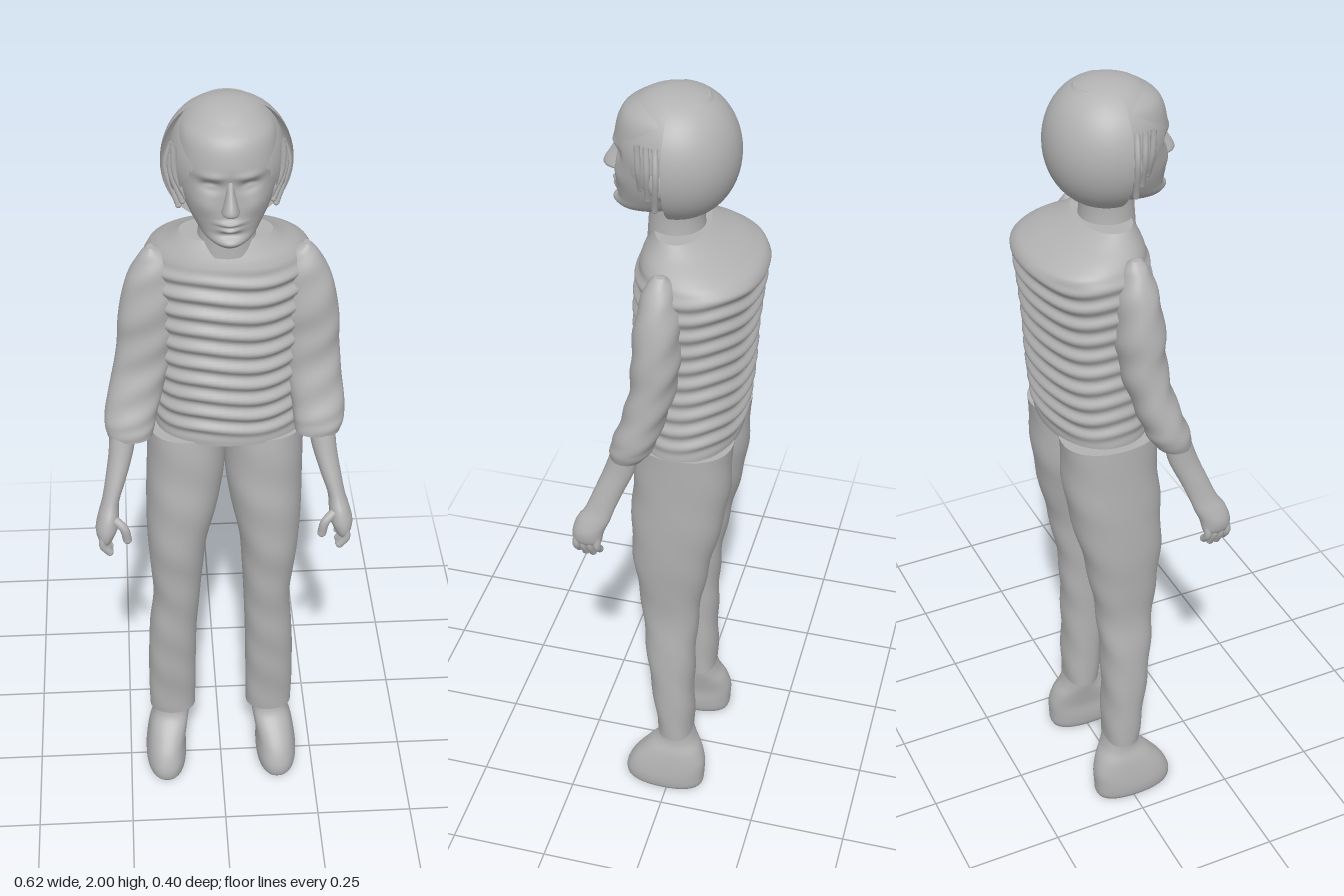
import * as THREE from 'three';

const grey = new THREE.MeshStandardMaterial({ color: 0xb2b2b2, side: THREE.DoubleSide });
grey.name = 'plain grey';

function add(parent, name, geometry) {
  const mesh = new THREE.Mesh(geometry, grey);
  mesh.name = name;
  parent.add(mesh);
  return mesh;
}

// Smooth skin over horizontal sections [y, xMin, xMax, zBack, zFront], listed from top to bottom.
// shape(u, v, p) may displace a point; power squares off the section; ends are closed flat.
function loft(sections, { steps = 48, sides = 40, power = 2, shape = null } = {}) {
  const last = sections.length - 1, pos = [], idx = [];
  const sample = (t) => {
    const i = Math.min(Math.floor(t * last), last - 1), f = t * last - i;
    const at = (k) => sections[Math.max(0, Math.min(last, k))];
    return sections[0].map((_, c) => {
      const [a, b, d, e] = [at(i - 1)[c], at(i)[c], at(i + 1)[c], at(i + 2)[c]];
      return b + 0.5 * f * (d - a + f * (2 * a - 5 * b + 4 * d - e + f * (3 * (b - d) + e - a)));
    });
  };
  const bend = (n) => Math.sign(n) * Math.abs(n) ** (2 / power);
  for (let r = 0; r <= steps; r++) {
    const [y, x0, x1, z0, z1] = sample(r / steps);
    for (let s = 0; s < sides; s++) {
      const a = (s / sides) * Math.PI * 2;
      const p = new THREE.Vector3((x0 + x1) / 2 + bend(Math.sin(a)) * (x1 - x0) / 2, y,
        (z0 + z1) / 2 + bend(Math.cos(a)) * (z1 - z0) / 2);
      if (shape) shape(a, r / steps, p);
      pos.push(p.x, p.y, p.z);
    }
  }
  for (let r = 0; r < steps; r++) for (let s = 0; s < sides; s++) {
    const a = r * sides + s, b = r * sides + (s + 1) % sides;
    idx.push(a, a + sides, b, b, a + sides, b + sides);
  }
  for (const [row, flip] of [[0, false], [steps, true]]) {
    const start = pos.length / 3, c = [0, 0, 0];
    for (let s = 0; s < sides; s++) for (let k = 0; k < 3; k++) {
      const v = pos[(row * sides + s) * 3 + k];
      pos.push(v);
      c[k] += v / sides;
    }
    pos.push(...c);
    for (let s = 0; s < sides; s++) {
      const a = start + s, b = start + (s + 1) % sides;
      idx.push(start + sides, flip ? b : a, flip ? a : b);
    }
  }
  const g = new THREE.BufferGeometry();
  g.setAttribute('position', new THREE.Float32BufferAttribute(pos, 3));
  g.setIndex(idx);
  g.computeVertexNormals();
  return g;
}

// Mirrors a list of sections to the other side and shifts it by a rule of height.
const sideOf = (sections, side, shift) => sections.map(([y, a, b, z0, z1]) => {
  const d = shift(y);
  return side > 0 ? [y, a + d, b + d, z0, z1] : [y, -b + d, -a + d, z0, z1];
});

function ball(parent, name, [x, y, z], [rx, ry, rz]) {
  const mesh = add(parent, name, new THREE.SphereGeometry(1, 20, 14));
  mesh.position.set(x, y, z);
  mesh.scale.set(rx, ry, rz);
  return mesh;
}

// Tapered finger along a bent path
function finger(parent, name, points, radius) {
  const path = new THREE.CatmullRomCurve3(points.map((p) => new THREE.Vector3(...p)));
  add(parent, name, new THREE.TubeGeometry(path, 10, radius, 10));
  ball(parent, name + 'Tip', points[points.length - 1], [radius, radius, radius]);
}

function makeLimbs(model, side) {
  const tag = side > 0 ? 'left' : 'right';
  // Trouser leg
  const leg = [[1.14, 0.0, 0.191, -0.146, 0.088], [1.02, 0.0, 0.192, -0.142, 0.095],
    [0.92, 0.013, 0.194, -0.13, 0.1], [0.8, 0.04, 0.192, -0.104, 0.098], [0.7, 0.05, 0.184, -0.085, 0.088],
    [0.6, 0.057, 0.177, -0.07, 0.077], [0.5, 0.063, 0.186, -0.064, 0.068], [0.4, 0.066, 0.191, -0.06, 0.058],
    [0.28, 0.068, 0.193, -0.06, 0.043], [0.185, 0.07, 0.192, -0.06, 0.032]];
  add(model, tag + 'TrouserLeg', loft(sideOf(leg, side, (y) => 0.013 * Math.max(0, (y - 0.5) / 0.64)), {
    power: 2.25,
    shape: (a, v, p) => { p.z += 0.002 * Math.sin(p.y * 42 + 2 * a); },
  }));

  // Shoe: narrow ankle sloping to a long rounded sole
  const shoe = [[0.2, 0.083, 0.178, -0.055, 0.02], [0.16, 0.086, 0.182, -0.066, 0.03],
    [0.125, 0.092, 0.194, -0.085, 0.066], [0.085, 0.098, 0.202, -0.096, 0.1],
    [0.045, 0.097, 0.207, -0.095, 0.118], [0.015, 0.1, 0.205, -0.093, 0.118], [0, 0.107, 0.196, -0.086, 0.108]];
  add(model, tag + 'Shoe', loft(sideOf(shoe, side, () => 0), { steps: 30, power: 2.3 }));

  // Sleeve with a pinched shoulder and creases at the elbow
  const sleeve = [[1.635, 0.17, 0.185, -0.008, 0.018], [1.61, 0.135, 0.207, -0.025, 0.037],
    [1.55, 0.118, 0.237, -0.042, 0.055], [1.46, 0.12, 0.256, -0.046, 0.065], [1.38, 0.128, 0.261, -0.04, 0.067],
    [1.3, 0.142, 0.272, -0.022, 0.08], [1.23, 0.158, 0.284, 0.0, 0.102], [1.19, 0.165, 0.284, 0.015, 0.115],
    [1.165, 0.17, 0.276, 0.032, 0.116]];
  add(model, tag + 'Sleeve', loft(sideOf(sleeve, side, (y) => 0.018 * Math.min(1, Math.max(0, (y - 1.1) / 0.3))), {
    power: 2.15,
    shape: (a, v, p) => { p.z += 0.003 * Math.sin(v * 42 + 2 * a) * Math.sin(v * Math.PI); },
  }));

  // Forearm running into the wrist and palm
  const arm = [[1.2, 0.2, 0.268, 0.045, 0.105], [1.13, 0.213, 0.272, 0.055, 0.127], [1.07, 0.232, 0.282, 0.08, 0.15],
    [1.02, 0.25, 0.292, 0.1, 0.17], [0.99, 0.253, 0.302, 0.11, 0.19], [0.96, 0.255, 0.31, 0.123, 0.2],
    [0.935, 0.265, 0.308, 0.128, 0.2], [0.92, 0.272, 0.3, 0.135, 0.193]];
  add(model, tag + 'ForearmAndPalm', loft(sideOf(arm, side, () => 0), { steps: 30, sides: 24 }));
  for (let i = 0; i < 4; i++) {
    const z = 0.137 + i * 0.017, drop = [0.012, 0, 0, 0.008][i];
    finger(model, tag + 'Finger' + (i + 1), [[side * 0.292, 0.945, z], [side * 0.294, 0.918, z + 0.002],
      [side * 0.279, 0.888 + drop, z]], 0.0095);
  }
  finger(model, tag + 'Thumb', [[side * 0.264, 0.985, 0.175], [side * 0.242, 0.965, 0.186],
    [side * 0.235, 0.93, 0.184]], 0.011);
}

function makeHead(model) {
  const head = new THREE.Group();
  head.name = 'head';
  head.position.x = 0.013;
  model.add(head);

  // Face and skull
  const skull = [[1.985, -0.06, 0.06, -0.06, 0.08], [1.95, -0.1, 0.1, -0.09, 0.13], [1.9, -0.112, 0.112, -0.1, 0.148],
    [1.86, -0.113, 0.113, -0.1, 0.146], [1.82, -0.108, 0.108, -0.09, 0.146], [1.78, -0.096, 0.096, -0.08, 0.148],
    [1.745, -0.078, 0.078, -0.05, 0.148], [1.72, -0.058, 0.058, 0.0, 0.15], [1.704, -0.032, 0.032, 0.06, 0.14]];
  const bump = (p, x, y, w, h) => Math.exp(-(((Math.abs(p.x) - x) / w) ** 2) - ((p.y - y) / h) ** 2);
  add(head, 'face', loft(skull, {
    steps: 110, sides: 110, power: 2.1,
    shape: (a, v, p) => {
      if (Math.cos(a) <= 0) return;
      p.z += 0.006 * bump(p, 0.04, 1.877, 0.03, 0.01) - 0.014 * bump(p, 0.042, 1.852, 0.02, 0.012)
        + 0.006 * bump(p, 0.042, 1.85, 0.013, 0.006) + 0.007 * bump(p, 0.055, 1.805, 0.025, 0.025)
        + 0.012 * bump(p, 0, 1.768, 0.024, 0.006) + 0.011 * bump(p, 0, 1.753, 0.02, 0.006)
        - 0.005 * bump(p, 0, 1.738, 0.03, 0.007) + 0.01 * bump(p, 0, 1.72, 0.03, 0.012);
    },
  }));
  add(head, 'nose', loft([[1.868, -0.008, 0.008, 0.12, 0.146], [1.84, -0.01, 0.01, 0.12, 0.162],
    [1.81, -0.017, 0.017, 0.12, 0.18], [1.797, -0.02, 0.02, 0.12, 0.178], [1.79, -0.012, 0.012, 0.13, 0.16]],
  { steps: 20, sides: 20 }));
  add(head, 'neck', loft([[1.78, -0.066, 0.066, -0.055, 0.07], [1.7, -0.064, 0.064, -0.05, 0.076],
    [1.64, -0.07, 0.07, -0.056, 0.08]], { steps: 12 }));

  // Hair shells: spheres cut at a hem height that varies around the head
  const shell = (name, radii, centre, from, sweep, hem) => {
    const g = new THREE.SphereGeometry(1, 72, 30, from, sweep, 0, 1), p = g.attributes.position;
    for (let i = 0; i < p.count; i++) {
      const u = i % 73, row = Math.floor(i / 73), phi = from + (sweep * u) / 72;
      const end = Math.acos(THREE.MathUtils.clamp((hem(phi, u) - centre[1]) / radii[1], -1, 1));
      const t = (end * row) / 30;
      p.setXYZ(i, centre[0] - radii[0] * Math.cos(phi) * Math.sin(t) ** 0.85,
        centre[1] + radii[1] * Math.cos(t), centre[2] + radii[2] * Math.sin(phi) * Math.sin(t) ** 0.85);
    }
    g.computeVertexNormals();
    add(head, name, g);
  };
  shell('backHair', [0.146, 0.148, 0.142], [0, 1.85, 0.012], Math.PI, Math.PI, () => 1.702);
  shell('frontHair', [0.127, 0.137, 0.147], [0, 1.863, 0.005], 0, Math.PI, (phi, u) =>
    1.935 - 0.175 * Math.abs(Math.cos(phi)) ** 2.6 + [0, 0.006, -0.006, 0.003][u % 4]);

  // Ears and loose locks beside them
  for (const side of [-1, 1]) {
    const tag = side > 0 ? 'left' : 'right';
    ball(head, tag + 'Ear', [side * 0.115, 1.825, 0.025], [0.014, 0.036, 0.024]);
    for (let i = 0; i < 3; i++) {
      finger(head, tag + 'Lock' + (i + 1), [[side * 0.118, 1.91, 0.03 + i * 0.02],
        [side * (0.135 - i * 0.01), 1.85, 0.025 + i * 0.022],
        [side * (0.108 - i * 0.008), 1.755 + i * 0.02, 0.035 + i * 0.018]], 0.007);
    }
  }
}

export function createModel() {
  const model = new THREE.Group();
  model.name = 'standingFigure';

  // Ribbed jumper with a sloping shoulder yoke
  const torso = [[1.672, -0.095, 0.118, -0.06, 0.058], [1.65, -0.12, 0.145, -0.1, 0.07],
    [1.625, -0.15, 0.185, -0.155, 0.082], [1.6, -0.168, 0.208, -0.194, 0.09], [1.57, -0.174, 0.214, -0.192, 0.095],
    [1.5, -0.17, 0.21, -0.182, 0.1], [1.4, -0.162, 0.203, -0.173, 0.102], [1.3, -0.16, 0.2, -0.168, 0.102],
    [1.2, -0.158, 0.202, -0.158, 0.1], [1.135, -0.157, 0.204, -0.15, 0.098]];
  add(model, 'jumper', loft(torso, {
    steps: 150, sides: 64, power: 2.15,
    shape: (a, v, p) => {
      const fade = THREE.MathUtils.smoothstep(1.62 - p.y, 0, 0.06) * THREE.MathUtils.smoothstep(p.y, 1.14, 1.19);
      const rib = 0.0065 * fade * Math.sin(p.y * 140 + 0.8 * Math.sin(a * 2) + 0.5 * Math.sin(a * 5));
      p.z += rib * Math.cos(a);
      p.x += 0.6 * rib * Math.sin(a);
    },
  }));

  makeHead(model);
  for (const side of [-1, 1]) makeLimbs(model, side);
  return model;
}
